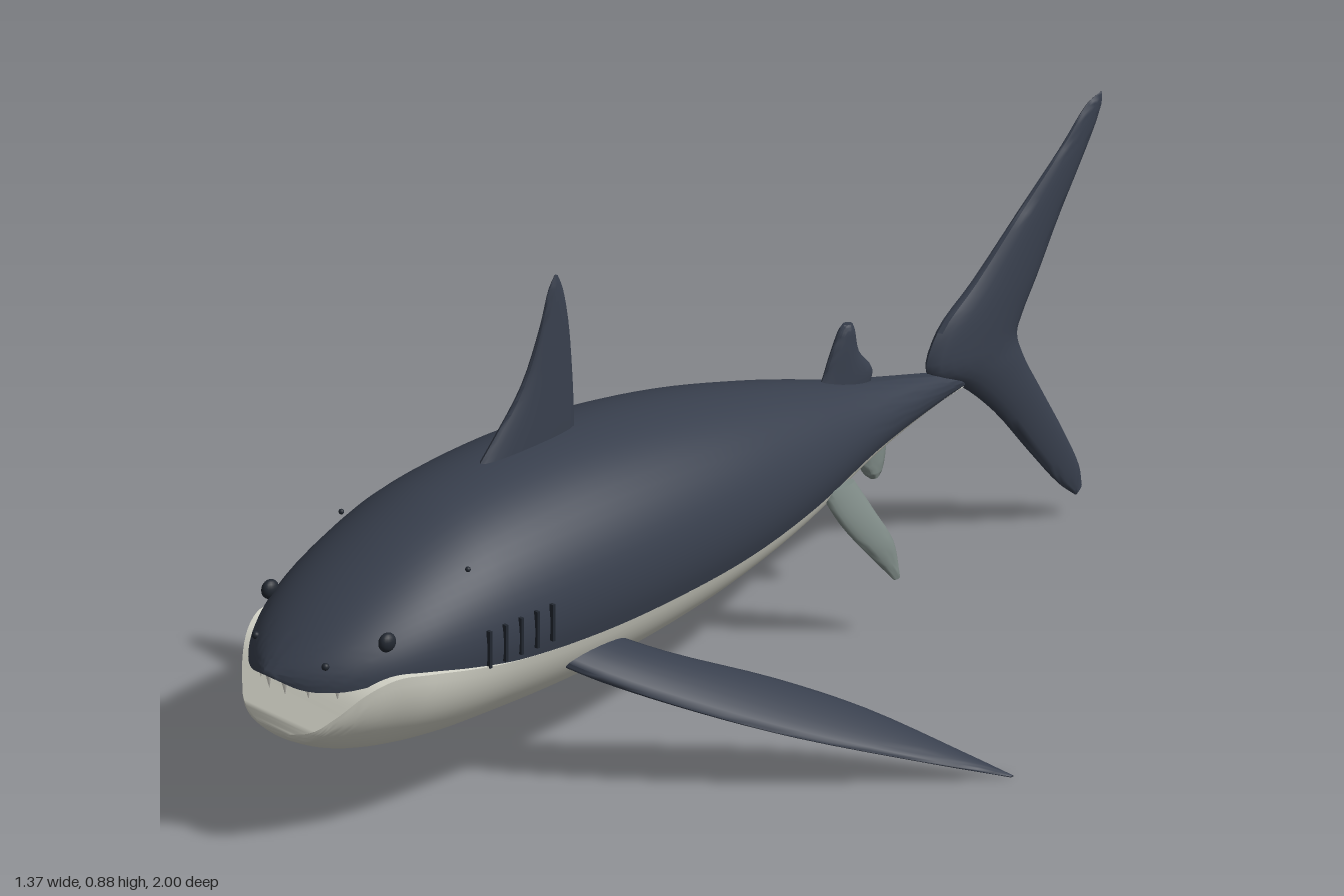
import * as THREE from 'three';
import { toCreasedNormals } from 'three/addons/utils/BufferGeometryUtils.js';

const mat = (name, color) => {
  const m = new THREE.MeshStandardMaterial({ color });
  m.name = name;
  return m;
};
const V = (x, y, z) => new THREE.Vector3(x, y, z);

// Closed solid through a list of rings, always wound outwards
function loft(rings, crease) {
  const n = rings[0].length, pts = rings.flat(), idx = [];
  for (let i = 0; i < rings.length - 1; i++) {
    for (let j = 0; j < n; j++) {
      const a = i * n + j, b = i * n + (j + 1) % n;
      idx.push(a, b, b + n, a, b + n, a + n);
    }
  }
  const end = (rings.length - 1) * n;
  for (let j = 1; j < n - 1; j++) idx.push(0, j + 1, j, end, end + j, end + j + 1);
  let volume = 0;
  for (let i = 0; i < idx.length; i += 3) {
    volume += pts[idx[i]].dot(pts[idx[i + 1]].clone().cross(pts[idx[i + 2]]));
  }
  if (volume < 0) idx.reverse();
  const g = new THREE.BufferGeometry().setFromPoints(pts);
  g.setIndex(idx);
  return toCreasedNormals(g, crease);
}

// Half body: rows are [z, outer height, edge height, half width, centre height]
function halfBody(rows) {
  const curve = new THREE.CubicInterpolant(rows.map(r => r[0]), rows.flatMap(r => r.slice(1)), 4);
  const rings = [], sub = 5, seg = 36;
  for (let i = 0; i <= (rows.length - 1) * sub; i++) {
    const k = Math.min(Math.floor(i / sub), rows.length - 2), f = i / sub - k;
    const z = THREE.MathUtils.lerp(rows[k][0], rows[k + 1][0], f);
    const [outer, edge, w, c] = curve.evaluate(z);
    const a0 = Math.asin(THREE.MathUtils.clamp((edge - c) / (outer - c), -1, 1));
    const ring = [];
    for (let j = 0; j <= seg; j++) {
      const a = a0 + (Math.PI - 2 * a0) * j / seg;
      ring.push(V(w * Math.cos(a), c + (outer - c) * Math.sin(a), z));
    }
    rings.push(ring);
  }
  return loft(rings, 0.8);
}

// Fin: sections are [leading point, trailing point, half thickness], smoothed along the span
function fin(sections, normal) {
  const lead = new THREE.CatmullRomCurve3(sections.map(s => s[0]));
  const trail = new THREE.CatmullRomCurve3(sections.map(s => s[1]));
  const rings = [], sub = 4, seg = 20, last = sections.length - 1;
  for (let i = 0; i <= last * sub; i++) {
    const u = i / sub, k = Math.min(Math.floor(u), last - 1);
    const a = lead.getPoint(u / last), b = trail.getPoint(u / last);
    const t = THREE.MathUtils.lerp(sections[k][2], sections[k + 1][2], u - k);
    const ring = [];
    for (let j = 0; j < seg; j++) {
      const q = j / seg * Math.PI * 2;
      ring.push(a.clone().lerp(b, (1 - Math.cos(q)) / 2).addScaledVector(normal, t * Math.sin(q)));
    }
    rings.push(ring);
  }
  return loft(rings, 1);
}

// Upright fin in the middle plane: rows are [lead z, lead y, trail z, trail y, half thickness]
const midFin = rows => fin(rows.map(([z, y, z2, y2, t]) => [V(0, y, z), V(0, y2, z2), t]), V(1, 0, 0));

export function createModel() {
  const model = new THREE.Group();
  model.name = 'shark';
  const slate = mat('slate back', 0x383f4d);
  const cream = mat('cream belly', 0xd8d8cc);
  const grey = mat('grey fin', 0x7f8b87);
  const black = mat('dark detail', 0x222831);
  const ivory = mat('ivory teeth', 0xeeece2);
  const add = (name, geometry, material) => {
    const m = new THREE.Mesh(geometry, material);
    m.name = name;
    model.add(m);
    return m;
  };

  // Back and snout
  add('back', halfBody([
    [-0.66, 0.375, 0.347, 0.014, 0.36], [-0.6, 0.39, 0.343, 0.024, 0.362],
    [-0.4, 0.44, 0.33, 0.075, 0.365], [-0.2, 0.5, 0.307, 0.137, 0.363],
    [0, 0.547, 0.296, 0.187, 0.365], [0.2, 0.574, 0.294, 0.215, 0.364],
    [0.4, 0.579, 0.295, 0.225, 0.358], [0.6, 0.556, 0.307, 0.221, 0.35],
    [0.7, 0.523, 0.32, 0.209, 0.342], [0.8, 0.477, 0.334, 0.187, 0.336],
    [0.88, 0.432, 0.328, 0.153, 0.328], [0.94, 0.391, 0.318, 0.11, 0.318],
    [0.98, 0.358, 0.32, 0.058, 0.32], [1, 0.338, 0.333, 0.012, 0.333],
  ]), slate);

  // Belly and lower jaw
  add('bellyAndJaw', halfBody([
    [-0.66, 0.343, 0.347, 0.014, 0.36], [-0.6, 0.334, 0.343, 0.024, 0.362],
    [-0.4, 0.29, 0.33, 0.075, 0.365], [-0.2, 0.226, 0.307, 0.137, 0.363],
    [0, 0.183, 0.296, 0.187, 0.365], [0.2, 0.153, 0.294, 0.215, 0.364],
    [0.4, 0.137, 0.295, 0.225, 0.358], [0.6, 0.135, 0.307, 0.222, 0.35],
    [0.7, 0.138, 0.322, 0.216, 0.342], [0.8, 0.148, 0.338, 0.201, 0.338],
    [0.86, 0.158, 0.34, 0.18, 0.34], [0.91, 0.174, 0.315, 0.152, 0.315],
    [0.95, 0.194, 0.27, 0.115, 0.27], [0.975, 0.21, 0.24, 0.078, 0.24],
    [0.985, 0.222, 0.228, 0.04, 0.228],
  ]), cream);

  // Middle fins
  add('dorsalFin', midFin([
    [0.53, 0.53, 0.265, 0.53, 0.024], [0.46, 0.605, 0.266, 0.6, 0.02],
    [0.39, 0.69, 0.271, 0.69, 0.015], [0.345, 0.79, 0.28, 0.785, 0.01],
    [0.325, 0.855, 0.293, 0.85, 0.005], [0.311, 0.878, 0.304, 0.876, 0.002],
  ]), slate);
  add('secondDorsalFin', midFin([
    [-0.3, 0.42, -0.44, 0.415, 0.014], [-0.325, 0.455, -0.448, 0.45, 0.014],
    [-0.348, 0.505, -0.415, 0.495, 0.013], [-0.37, 0.545, -0.405, 0.54, 0.011],
    [-0.38, 0.555, -0.4, 0.553, 0.007],
  ]), slate);
  add('analFin', midFin([
    [-0.38, 0.33, -0.47, 0.33, 0.014], [-0.41, 0.285, -0.48, 0.295, 0.012],
    [-0.43, 0.25, -0.472, 0.25, 0.01], [-0.445, 0.237, -0.462, 0.237, 0.006],
  ]), grey);
  add('tailFin', midFin([
    [-0.935, 0.045, -0.95, 0.06, 0.003], [-0.895, 0.08, -0.943, 0.1, 0.008],
    [-0.82, 0.17, -0.905, 0.18, 0.014], [-0.74, 0.27, -0.85, 0.28, 0.02],
    [-0.66, 0.345, -0.805, 0.365, 0.025], [-0.58, 0.395, -0.793, 0.41, 0.027],
    [-0.605, 0.465, -0.805, 0.44, 0.025], [-0.69, 0.535, -0.84, 0.5, 0.021],
    [-0.8, 0.635, -0.895, 0.6, 0.015], [-0.9, 0.725, -0.95, 0.69, 0.01],
    [-0.965, 0.79, -0.982, 0.745, 0.006], [-0.998, 0.803, -0.996, 0.775, 0.002],
  ]), slate);

  // Pelvic fins, each swept a little differently
  add('leftPelvicFin', fin([
    [V(0.1, 0.315, -0.23), V(0.1, 0.315, -0.31), 0.013],
    [V(0.115, 0.25, -0.262), V(0.12, 0.25, -0.342), 0.013],
    [V(0.13, 0.18, -0.314), V(0.133, 0.19, -0.372), 0.012],
    [V(0.138, 0.115, -0.37), V(0.14, 0.12, -0.382), 0.005],
  ], V(1, 0, 0)), grey);
  add('rightPelvicFin', fin([
    [V(-0.1, 0.315, -0.23), V(-0.09, 0.315, -0.31), 0.013],
    [V(-0.12, 0.262, -0.275), V(-0.115, 0.27, -0.355), 0.013],
    [V(-0.145, 0.21, -0.335), V(-0.143, 0.22, -0.395), 0.012],
    [V(-0.163, 0.165, -0.405), V(-0.165, 0.168, -0.418), 0.005],
  ], V(1, 0.3, 0).normalize()), grey);

  const pectoral = [
    [0.15, 0.5, 0.36, 0.02], [0.24, 0.43, 0.27, 0.02], [0.36, 0.31, 0.12, 0.016],
    [0.47, 0.18, 0.01, 0.012], [0.61, -0.02, -0.09, 0.006], [0.684, -0.132, -0.14, 0.002],
  ];
  for (const s of [1, -1]) {
    const side = s > 0 ? 'left' : 'right';
    // Pectoral fins
    add(side + 'PectoralFin', fin(pectoral.map(([x, z, z2, t]) => {
      const y = 0.338 - 0.49 * x;
      return [V(s * x, y, z), V(s * x, y, z2), t];
    }), V(s * 0.44, 0.9, 0)), slate);

    // Eyes, nostrils and small pores
    const dot = (name, r, x, y, z) => {
      const m = add(side + name, new THREE.SphereGeometry(r, 16, 12), black);
      m.position.set(s * x, y, z);
      return m;
    };
    dot('Eye', 0.018, 0.148, 0.4, 0.852).scale.x = 0.7;
    dot('Nostril', 0.007, 0.088, 0.362, 0.943);
    dot('Pore', 0.005, 0.16, 0.485, 0.67);

    // Gill slits
    [[0.67, 0.35], [0.635, 0.352], [0.6, 0.355], [0.565, 0.357], [0.53, 0.36]].forEach(([z, y], i) => {
      const g = add(side + 'Gill' + (i + 1), new THREE.BoxGeometry(0.009, 0.07, 0.006), black);
      g.position.set(s * (0.215 + (0.67 - z) * 0.08), y, z);
    });

    // Upper teeth
    [[0.02, 0.975], [0.06, 0.957], [0.1, 0.925]].forEach(([x, z], i) => {
      const t = add(side + 'Tooth' + (i + 1), new THREE.ConeGeometry(0.008, 0.03, 8), ivory);
      t.rotation.x = Math.PI;
      t.position.set(s * x, 0.31, z);
    });
  }
  return model;
}
